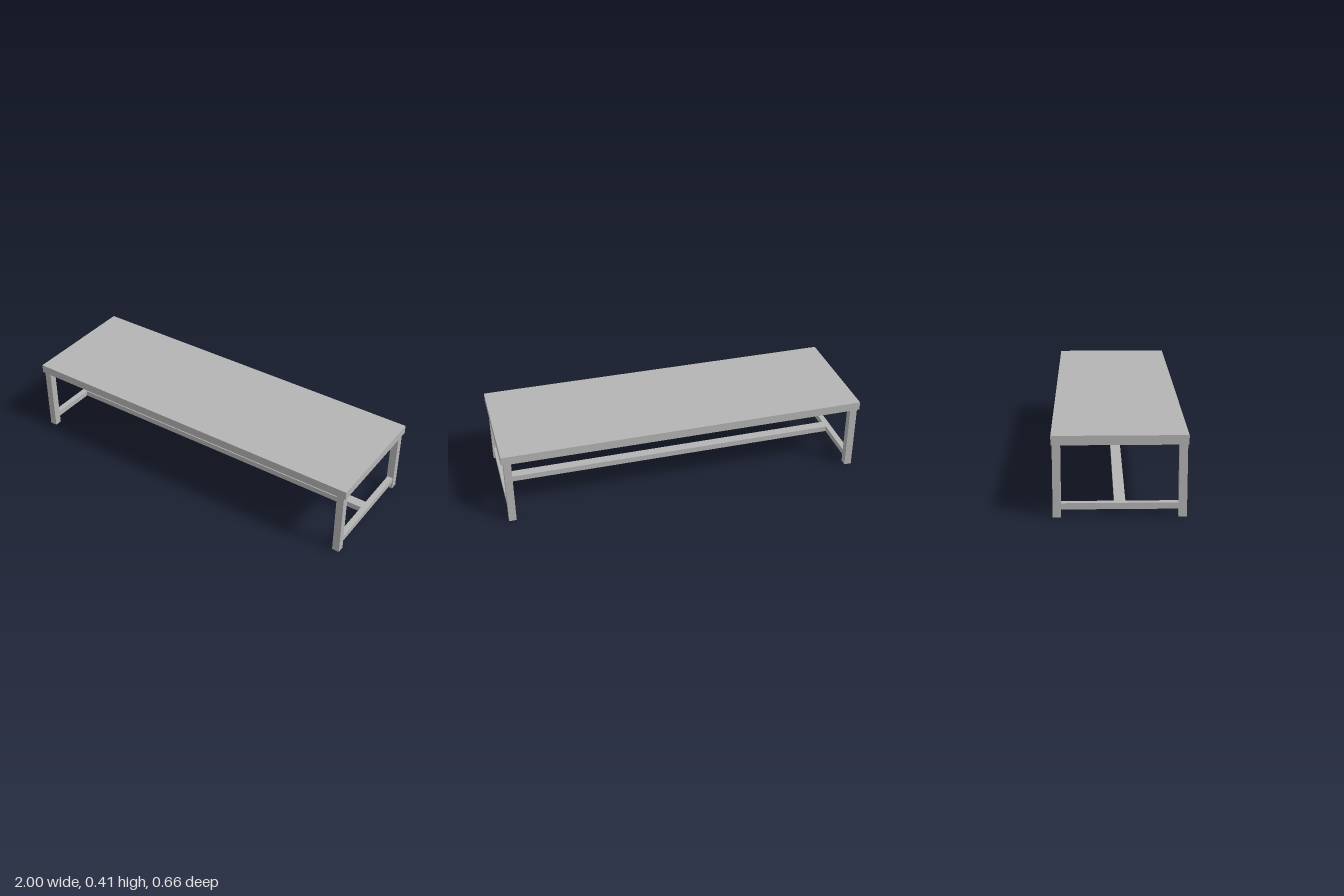
import * as THREE from 'three';

export function createModel() {
  const model = new THREE.Group();
  model.name = 'bench';
  const grey = new THREE.MeshStandardMaterial({ color: 0xb4b4b4 });
  grey.name = 'plain grey';

  // Box given by its size, centre x and z, and underside height
  const addBeam = (name, width, height, depth, x, bottom, z) => {
    const mesh = new THREE.Mesh(new THREE.BoxGeometry(width, height, depth), grey);
    mesh.name = name;
    mesh.position.set(x, bottom + height / 2, z);
    model.add(mesh);
  };

  const legSize = 0.04, legX = 0.968, legZ = 0.305;
  const topBottom = 0.368, railBottom = 0.04, railSize = 0.032;

  // Table top
  addBeam('top', 2, 0.047, 0.66, 0, topBottom, 0);

  // End frames: two legs joined by a low rail
  for (const [side, sx] of [['left', 1], ['right', -1]]) {
    for (const [end, sz] of [['Front', 1], ['Back', -1]]) {
      addBeam(`${side}${end}Leg`, legSize, topBottom, legSize, sx * legX, 0, sz * legZ);
    }
    addBeam(`${side}Rail`, railSize, railSize, 2 * legZ - legSize, sx * legX, railBottom, 0);
  }

  // Long stretcher between the end rails
  addBeam('stretcher', 2 * legX - railSize, railSize, 0.055, 0, railBottom, 0);

  return model;
}
